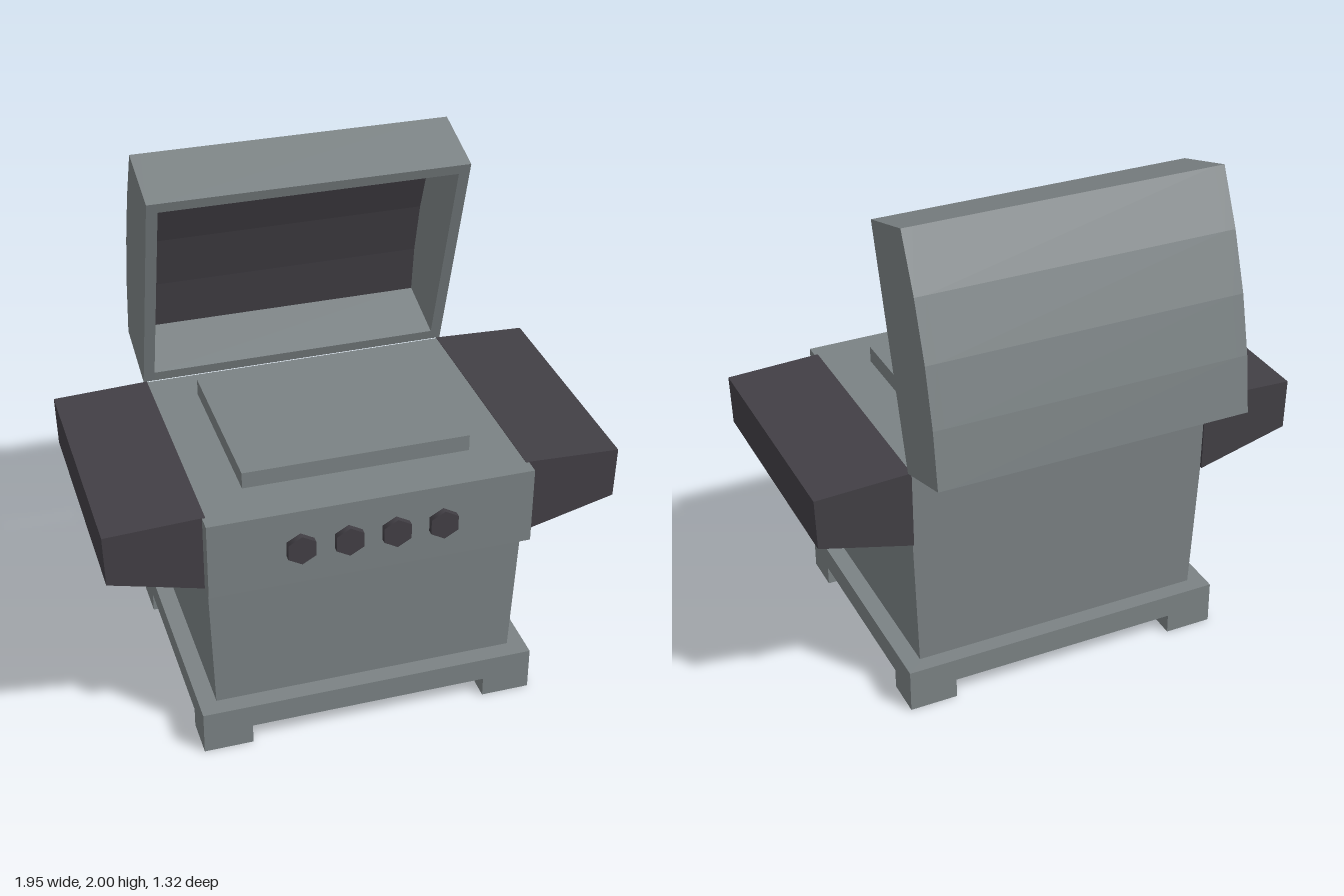
import * as THREE from 'three';

const steel = new THREE.MeshStandardMaterial({ color: 0x7b8284 });
steel.name = 'grey steel';
const dark = new THREE.MeshStandardMaterial({ color: 0x423f45 });
dark.name = 'dark charcoal';

export function createModel() {
  const model = new THREE.Group();
  model.name = 'barbecueGrill';

  const add = (name, geometry, material, parent = model) => {
    const mesh = new THREE.Mesh(geometry, material);
    mesh.name = name;
    parent.add(mesh);
    return mesh;
  };
  // Box given by its limits on each axis
  const block = (name, [x0, x1], [y0, y1], [z0, z1], material) => {
    const g = new THREE.BoxGeometry(x1 - x0, y1 - y0, z1 - z0);
    g.translate((x0 + x1) / 2, (y0 + y1) / 2, (z0 + z1) / 2);
    return add(name, g, material);
  };
  const extrude = (points, depth) => new THREE.ExtrudeGeometry(
    new THREE.Shape(points.map(([x, y]) => new THREE.Vector2(x, y))),
    { depth, bevelEnabled: false });
  // Side profile of [z, y] points, swept along x from x0 to x1
  const sweep = (points, x0, x1) => extrude(points.map(([z, y]) => [-z, y]), x1 - x0)
    .rotateY(Math.PI / 2).translate(x0, 0, 0);

  // Base plate with four corner feet
  block('basePlate', [-0.655, 0.655], [0.08, 0.175], [-0.425, 0.63], steel);
  for (const s of [-1, 1]) {
    const x = s < 0 ? [-0.655, -0.465] : [0.465, 0.655];
    block('frontFoot', x, [0, 0.08], [0.475, 0.63], steel);
    block('backFoot', x, [0, 0.08], [-0.425, -0.27], steel);
  }

  // Cabinet, widening towards the top
  const cabinet = new THREE.BoxGeometry(2, 1, 2);
  const p = cabinet.attributes.position;
  for (let i = 0; i < p.count; i++) {
    const top = p.getY(i) > 0;
    const halfX = top ? 0.617 : 0.587;
    const [back, front] = top ? [-0.385, 0.58] : [-0.36, 0.56];
    p.setXYZ(i, p.getX(i) * halfX, top ? 1.035 : 0.175, p.getZ(i) > 0 ? front : back);
  }
  cabinet.computeVertexNormals();
  add('cabinet', cabinet, steel);

  // Control panel and hexagonal knobs
  block('controlPanel', [-0.617, 0.617], [0.725, 1.035], [0.57, 0.638], steel);
  for (let i = 0; i < 4; i++) {
    const knob = new THREE.CylinderGeometry(0.06, 0.06, 0.03, 6).rotateX(Math.PI / 2);
    add('knob', knob, dark).position.set(-0.275 + i * 0.18, 0.88, 0.647);
  }

  // Cooking plate
  block('cookingPlate', [-0.435, 0.435], [1.03, 1.1], [-0.24, 0.44], steel);

  // Tapered side tables
  for (const s of [-1, 1]) {
    const points = [[0.605, 0.725], [0.97, 0.82], [0.975, 1.022], [0.605, 1.037]];
    const table = extrude(points.map(([x, y]) => [s * x, y]), 0.967);
    add(s < 0 ? 'rightTable' : 'leftTable', table.translate(0, 0, -0.387), dark);
  }

  // Open lid: solid ends, a curved shell between them and a dark lining
  const lid = new THREE.Group();
  lid.name = 'lid';
  model.add(lid);
  const outerBack = [[-0.658, 1.12], [-0.627, 1.345], [-0.573, 1.57], [-0.495, 1.79], [-0.397, 2]];
  const innerBack = [[-0.625, 1.155], [-0.6, 1.35], [-0.547, 1.565], [-0.472, 1.765], [-0.385, 1.953]];
  const hinge = [-0.385, 1.038], lip = [-0.125, 1.92];
  const openLow = [-0.373, 1.08], openHigh = [-0.137, 1.88];
  for (const [x0, x1] of [[-0.618, -0.575], [0.575, 0.618]]) {
    add('lidEnd', sweep([hinge, ...outerBack, lip], x0, x1), steel, lid);
  }
  const shell = [hinge, ...outerBack, lip, openHigh, ...[...innerBack].reverse(), openLow];
  add('lidShell', sweep(shell, -0.575, 0.575), steel, lid);
  const liningFace = innerBack.map(([z, y]) => [z + 0.006, y - 0.002]);
  add('lidLining', sweep([...innerBack, ...liningFace.reverse()], -0.574, 0.574), dark, lid);

  return model;
}
